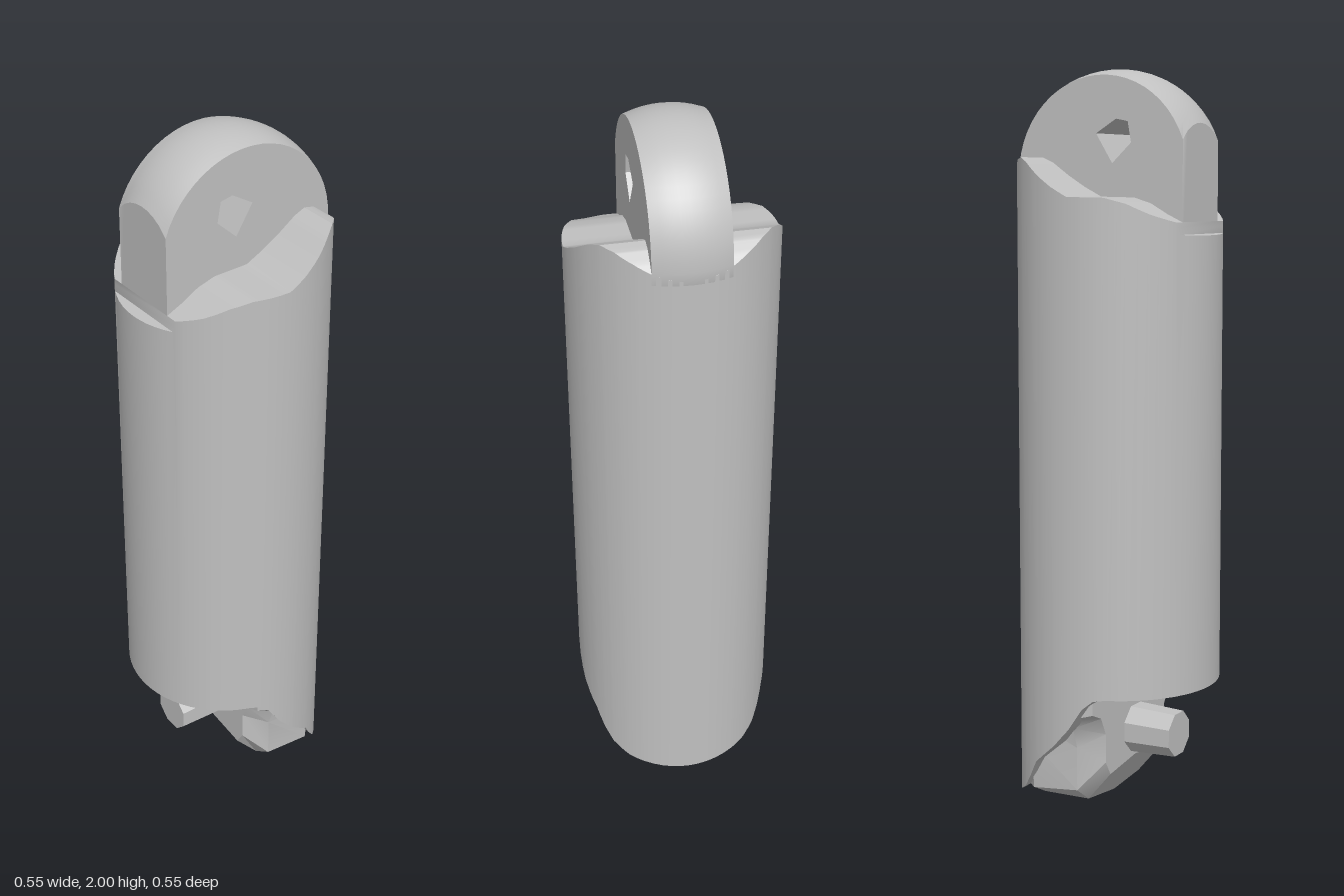
import * as THREE from 'three';
import { toCreasedNormals } from 'three/addons/utils/BufferGeometryUtils.js';

const R = 0.277;      // body radius
const HUB_Y = 1.723;  // centre of the domed lug
const HALF = 0.1;     // half thickness of the lug
const FRONT = 0.243;  // flat front of the lug

// Edge heights along z, front to back
const TOP = [[R, 1.565], [0.246, 1.568], [0.243, 1.6], [0.2, 1.62], [0.15, 1.648], [0.1, 1.663], [0, 1.665],
  [-0.05, 1.69], [-0.1, 1.72], [-0.15, 1.755], [-0.18, 1.768], [-0.21, 1.762], [-0.24, 1.74], [-R, 1.7]];
const BOTTOM = [[R, 0.345], [0.1, 0.345], [0.07, 0.34], [0.04, 0.315], [0, 0.255], [-0.05, 0.2], [-0.12, 0.14],
  [-0.15, 0.09], [-0.18, 0.05], [-0.22, 0.022], [-R, 0.003]];

function heightAt(profile, z) {
  for (let i = 1; i < profile.length; i++) {
    const [z0, y0] = profile[i - 1], [z1, y1] = profile[i];
    if (z >= z1) return y0 + (y1 - y0) * (z0 - z) / (z0 - z1);
  }
  return profile[profile.length - 1][1];
}

function fromTriangles(points, crease) {
  const g = new THREE.BufferGeometry();
  g.setAttribute('position', new THREE.Float32BufferAttribute(points.flat(), 3));
  g.computeVertexNormals();
  return toCreasedNormals(g, crease);
}

const quad = (list, a, b, c, d) => list.push(a, b, c, a, c, d);

// Round column whose upper and lower rims follow the height profiles
function bodyGeometry() {
  const zs = [...TOP, ...BOTTOM].map(p => p[0]);
  for (let i = 0; i <= 32; i++) zs.push(R * Math.cos(Math.PI * i / 32));
  zs.sort((a, b) => b - a);
  const stations = zs.filter((z, i) => i === 0 || zs[i - 1] - z > 0.0008);
  const tris = [];
  const corners = z => {
    const x = Math.sqrt(Math.max(0, R * R - z * z));
    const t = heightAt(TOP, z), b = heightAt(BOTTOM, z);
    return { lt: [x, t, z], lb: [x, b, z], rt: [-x, t, z], rb: [-x, b, z] };
  };
  for (let i = 1; i < stations.length; i++) {
    const f = corners(stations[i - 1]), k = corners(stations[i]);
    quad(tris, f.lb, k.lb, k.lt, f.lt);
    quad(tris, k.rb, f.rb, f.rt, k.rt);
    quad(tris, f.rt, f.lt, k.lt, k.rt);
    quad(tris, f.lb, f.rb, k.rb, k.lb);
  }
  return fromTriangles(tris, 0.6);
}

// Upright lug with a spherical crown, flat front and a cross hole
function lugGeometry() {
  const a0 = Math.acos(FRONT / R);
  const pts = [new THREE.Vector2(FRONT, 1.5)];
  for (let i = 0; i <= 24; i++) {
    const a = a0 + (Math.PI - a0) * i / 24;
    pts.push(new THREE.Vector2(R * Math.cos(a), HUB_Y + R * Math.sin(a)));
  }
  pts.push(new THREE.Vector2(-R, 1.69), new THREE.Vector2(-0.2, 1.5));
  const shape = new THREE.Shape(pts);
  shape.holes.push(new THREE.Path([[0.08, 1.86], [0.045, 1.867], [-0.016, 1.83], [0.033, 1.752], [0.09, 1.805]]
    .map(p => new THREE.Vector2(...p))));
  const g = new THREE.ExtrudeGeometry(shape, { depth: 2 * HALF, steps: 8, bevelEnabled: false });
  g.translate(0, 0, -HALF);
  g.rotateY(-Math.PI / 2);
  // Pull the crown and back edge onto the sphere and cylinder
  const p = g.attributes.position;
  for (let i = 0; i < p.count; i++) {
    const x = p.getX(i), y = p.getY(i), z = p.getZ(i);
    const r = Math.sqrt(R * R - x * x);
    if (y > HUB_Y - 0.001 && Math.hypot(y - HUB_Y, z) > 0.25) {
      const a = Math.atan2(Math.max(0, y - HUB_Y), z);
      const b = Math.PI - (Math.PI - a) * (Math.PI - Math.acos(FRONT / r)) / (Math.PI - a0);
      p.setY(i, HUB_Y + r * Math.sin(b));
      p.setZ(i, r * Math.cos(b));
    } else if (z < -0.25) p.setZ(i, -r);
  }
  return toCreasedNormals(g, 0.5);
}

// Foot block: mirrored half sections lofted from front to back
function footGeometry() {
  const sections = [
    { z: 0.05, half: [[0.235, 0.36], [0.235, 0.29], [0.19, 0.27], [0.165, 0.22], [0.165, 0.14], [0.14, 0.1], [0, 0.12]] },
    { z: -0.02, half: [[0.25, 0.36], [0.25, 0.27], [0.22, 0.24], [0.2, 0.18], [0.2, 0.06], [0.14, 0.018], [0, 0.004]] },
    { z: -0.16, half: [[0.21, 0.36], [0.21, 0.27], [0.21, 0.24], [0.21, 0.18], [0.2, 0.045], [0.14, 0.015], [0, 0.003]] },
    { z: -0.255, half: [[0.1, 0.36], [0.1, 0.27], [0.1, 0.24], [0.1, 0.18], [0.1, 0.03], [0.07, 0.01], [0, 0.002]] },
  ];
  const rings = sections.map(({ z, half }) => [
    ...half.map(([x, y]) => [x, y, z]),
    ...half.slice(0, -1).reverse().map(([x, y]) => [-x, y, z]),
  ]);
  const tris = [], n = rings[0].length;
  for (let s = 1; s < rings.length; s++) {
    for (let i = 0; i < n; i++) {
      const j = (i + 1) % n;
      quad(tris, rings[s - 1][i], rings[s - 1][j], rings[s][j], rings[s][i]);
    }
  }
  // Front face
  const centre = [0, 0.25, sections[0].z];
  for (let i = 0; i < n; i++) tris.push(centre, rings[0][(i + 1) % n], rings[0][i]);
  return fromTriangles(tris, 0.4);
}

export function createModel() {
  const grey = new THREE.MeshStandardMaterial({ color: 0xc0c0c0 });
  grey.name = 'grey';
  const model = new THREE.Group();
  model.name = 'linkPin';
  const add = (name, geometry) => {
    const mesh = new THREE.Mesh(geometry, grey);
    mesh.name = name;
    model.add(mesh);
    return mesh;
  };

  add('body', bodyGeometry());
  add('lug', lugGeometry());
  add('foot', footGeometry());

  // Faceted peg on the front of the foot
  const peg = new THREE.CylinderGeometry(0.064, 0.07, 0.147, 8);
  peg.rotateY(Math.PI / 8);
  peg.rotateX(Math.PI / 2);
  add('peg', toCreasedNormals(peg, 0.3)).position.set(0, 0.198, 0.1135);

  return model;
}
